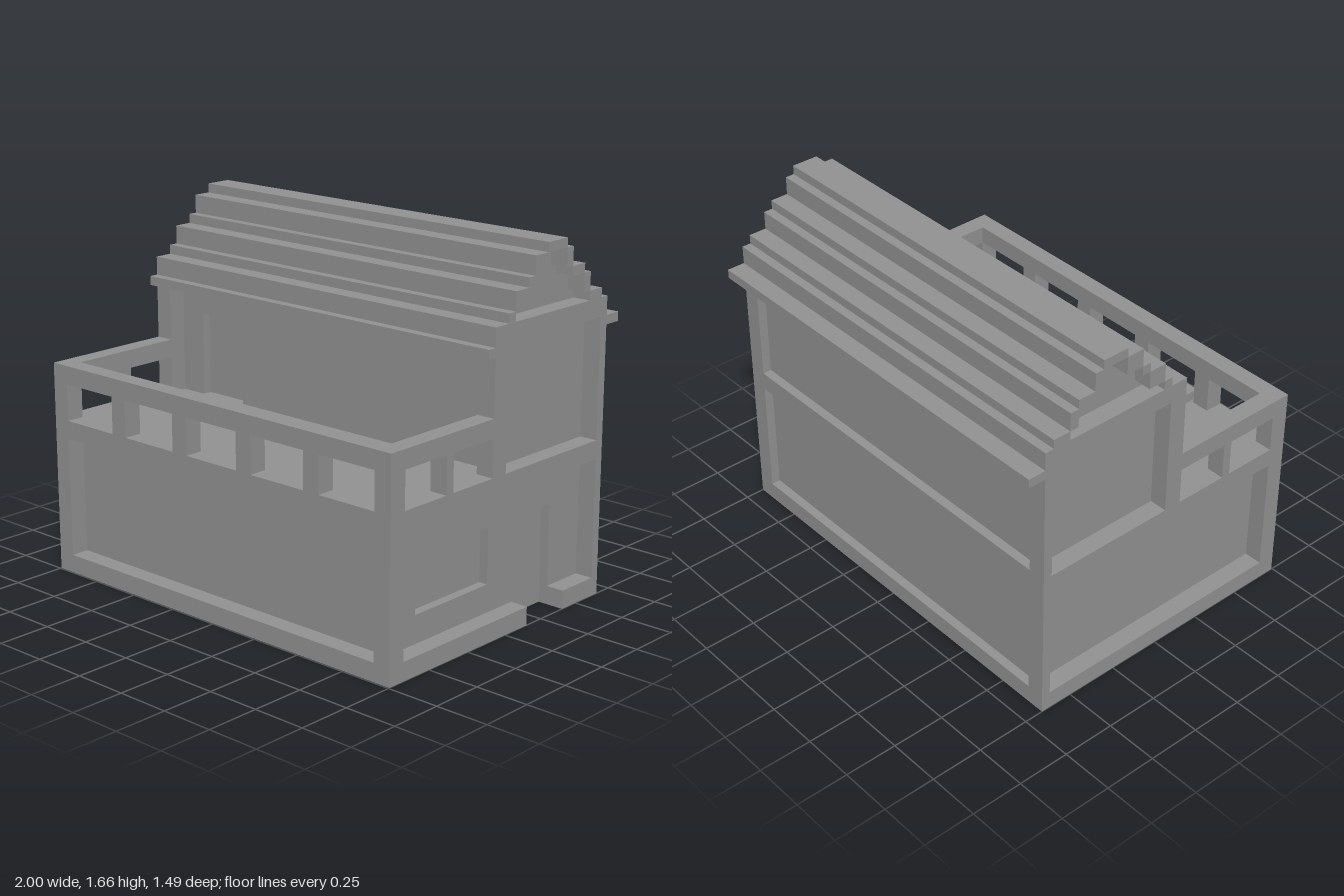
import * as THREE from 'three';

// Layout units: 47 across (x), y up from the ground, z counted backward from the front.
const UNIT = 2 / 47, MID_X = 23.5, MID_Z = 17.5;

export function createModel() {
  const model = new THREE.Group();
  model.name = 'house';
  model.scale.setScalar(UNIT);
  const grey = new THREE.MeshStandardMaterial({ color: 0x929292 });
  grey.name = 'plain grey';

  function add(name, geometry) {
    const mesh = new THREE.Mesh(geometry, grey);
    mesh.name = name;
    model.add(mesh);
  }
  function box(name, [x0, x1], [y0, y1], [z0, z1]) {
    const g = new THREE.BoxGeometry(x1 - x0, y1 - y0, z1 - z0);
    g.translate((x0 + x1) / 2 - MID_X, (y0 + y1) / 2, MID_Z - (z0 + z1) / 2);
    add(name, g);
  }
  const outline = (points) => points.map(([a, b]) => new THREE.Vector2(a, b));
  // Outline in (z, y), pushed along x
  function sideProfile(name, points, [x0, x1], hole) {
    const shape = new THREE.Shape(outline(points));
    if (hole) shape.holes.push(new THREE.Path(outline(hole)));
    const g = new THREE.ExtrudeGeometry(shape, { depth: x1 - x0, bevelEnabled: false });
    g.rotateY(Math.PI / 2).translate(x0 - MID_X, 0, MID_Z);
    add(name, g);
  }
  const sides = [[0, 2], [45, 47]];

  // Ground floor: recessed walls, base with a gap at the door, corner posts
  box('groundWalls', [2, 44], [2, 15], [2, 32]);
  sideProfile('groundLeftWall',
    [[2, 2], [21, 2], [21, 11], [27, 11], [27, 2], [32, 2], [32, 15], [2, 15]],
    [44, 45], [[6, 5], [6, 11], [17, 11], [17, 5]]);
  box('base', [0, 44], [0, 2], [0, 33]);
  box('baseFrontOfDoor', [44, 47], [0, 2], [0, 21]);
  box('baseBehindDoor', [44, 47], [0, 2], [27, 33]);
  for (const x of sides) {
    box('groundFrontPost', x, [2, 15], [0, 2]);
    box('groundBackPost', x, [2, 15], [32, 33]);
  }
  box('floorSlab', [0, 47], [15, 17], [0, 33]);

  // Balcony railing
  for (let i = 0; i < 6; i++) box('railingPost', [i * 9, i * 9 + 2], [17, 21], [0, 2]);
  box('frontRail', [0, 47], [21, 23], [0, 2]);
  for (const x of sides) {
    box('sideRail', x, [21, 23], [2, 15]);
    box('sideRailingPost', x, [17, 21], [8, 9]);
  }

  // Upper floor: recessed walls, front wall with a shallow doorway, posts
  box('upperWalls', [2, 45], [17, 30], [18, 32]);
  const front = new THREE.Shape(outline(
    [[2, 17], [5, 17], [5, 26], [11, 26], [11, 17], [45, 17], [45, 30], [2, 30]]));
  const frontGeometry = new THREE.ExtrudeGeometry(front, { depth: 1, bevelEnabled: false });
  add('upperFrontWall', frontGeometry.translate(-MID_X, 0, MID_Z - 18));
  for (const x of sides) {
    box('upperFrontPost', x, [17, 30], [15, 17]);
    box('upperBackPost', x, [17, 30], [32, 33]);
  }
  box('topBeam', [0, 47], [30, 32], [15, 33]);

  // Roof: stepped courses as [z range, y range]
  const courses = [
    [[14, 15], [29, 30]], [[17, 18], [32, 33]], [[18, 20], [33, 35]],
    [[20, 21], [35, 36]], [[21, 23], [36, 38]], [[23, 26], [38, 39]],
    [[26, 27], [36, 38]], [[27, 29], [35, 36]], [[29, 30], [33, 35]],
    [[30, 32], [32, 33]], [[33, 35], [29, 30]],
  ];
  for (const [z, y] of courses) box(y[0] === 29 ? 'eave' : 'roofCourse', [0, 47], y, z);

  // Gable filling, set back from the roof ends
  sideProfile('gableFilling', [
    [18, 32], [30, 32], [30, 33], [29, 33], [29, 35], [27, 35], [27, 36], [26, 36],
    [26, 38], [23, 38], [23, 36], [21, 36], [21, 35], [20, 35], [20, 33], [18, 33],
  ], [2, 45]);

  return model;
}
